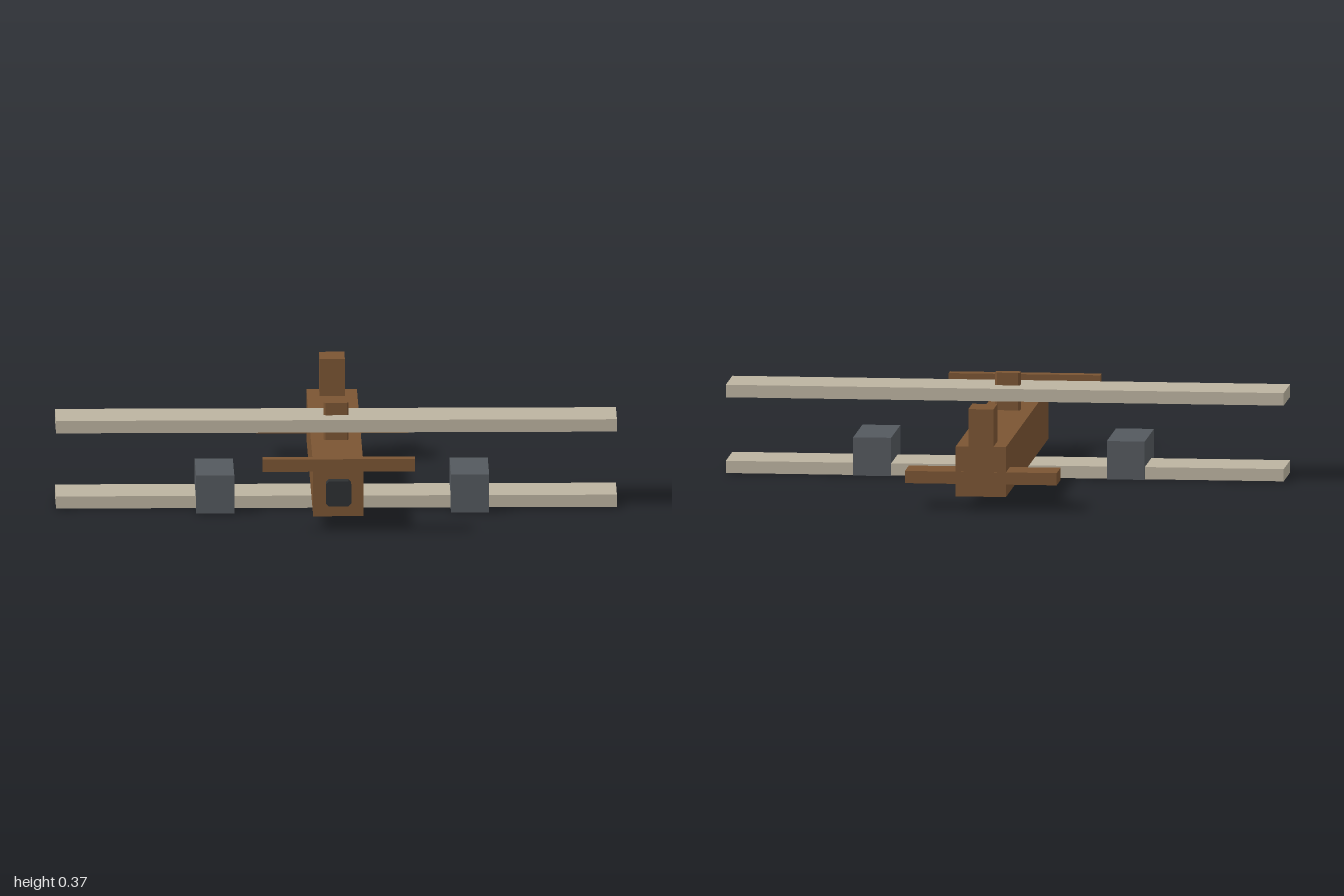
import * as THREE from 'three';

const material = (name, color) => {
  const m = new THREE.MeshStandardMaterial({ color });
  m.name = name;
  return m;
};

export function createModel() {
  const wood = material('brown wood', 0x7b5533);
  const canvas = material('tan canvas', 0xbcb3a0);
  const steel = material('grey steel', 0x54595e);
  const black = material('black metal', 0x2d3032);

  const model = new THREE.Group();
  model.name = 'biplane';

  const add = (name, geometry, mat, x, y, z) => {
    const mesh = new THREE.Mesh(geometry, mat);
    mesh.name = name;
    mesh.position.set(x, y, z);
    model.add(mesh);
    return mesh;
  };

  // Box given by its lower and upper limits on each axis
  const box = (name, mat, [x0, x1], [y0, y1], [z0, z1]) =>
    add(name, new THREE.BoxGeometry(x1 - x0, y1 - y0, z1 - z0), mat,
      (x0 + x1) / 2, (y0 + y1) / 2, (z0 + z1) / 2);

  // Bar along z whose four long edges are cut
  const cutBar = (w, h, depth, c) => {
    const a = w / 2, b = h / 2;
    const shape = new THREE.Shape([
      [a - c, -b], [a, -b + c], [a, b - c], [a - c, b],
      [c - a, b], [-a, b - c], [-a, c - b], [c - a, -b],
    ].map(([x, y]) => new THREE.Vector2(x, y)));
    return new THREE.ExtrudeGeometry(shape, { depth, bevelEnabled: false });
  };

  // Body
  box('fuselage', wood, [-0.09, 0.09], [0.05, 0.23], [-0.772, 0.68]);

  // Wings
  box('lowerWing', canvas, [-1, 1], [0.002, 0.046], [0.048, 0.273]);
  box('upperWing', canvas, [-1, 1], [0.275, 0.32], [0.047, 0.273]);

  // Centre strut running through both wings
  add('wingStrut', cutBar(0.09, 0.044, 0.365, 0.007), wood, 0, 0, 0.16)
    .rotation.x = -Math.PI / 2;

  // Engine pods on the lower wing
  box('leftEngine', steel, [0.407, 0.543], [0, 0.138], [0.046, 0.363]);
  box('rightEngine', steel, [-0.502, -0.366], [0, 0.138], [0.046, 0.363]);

  // Nose hub and propeller
  add('noseHub', cutBar(0.09, 0.09, 0.052, 0.01), black, 0, 0.14, 0.675);
  box('propeller', wood, [-0.272, 0.272], [0.23, 0.275], [0.727, 0.773]);

  // Tail
  box('tailplane', wood, [-0.272, 0.272], [0.095, 0.139], [-0.773, -0.637]);
  box('tailFin', wood, [-0.045, 0.045], [0.225, 0.365], [-0.773, -0.637]);

  return model;
}
